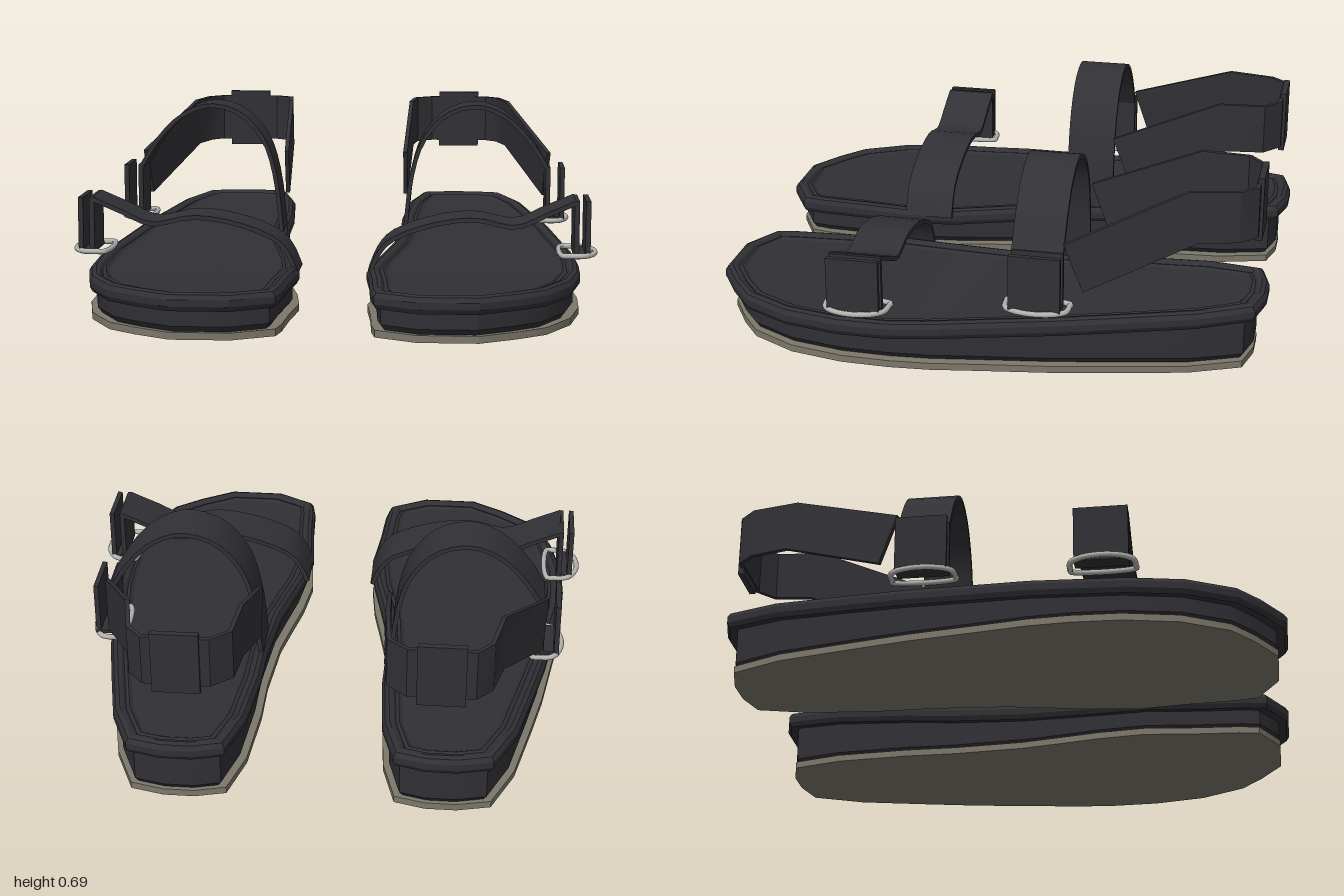
import * as THREE from 'three';
import { toCreasedNormals } from 'three/addons/utils/BufferGeometryUtils.js';

const V = (x, y, z) => new THREE.Vector3(x, y, z);
const rubber = new THREE.MeshStandardMaterial({ name: 'dark rubber', color: 0x303035 });
const fabric = new THREE.MeshStandardMaterial({ name: 'strap fabric', color: 0x313136 });
const tread = new THREE.MeshStandardMaterial({ name: 'grey tread', color: 0x7c776a });
const metal = new THREE.MeshStandardMaterial({ name: 'ring metal', color: 0xb4b4b0 });

// Sole stations from heel to toe: z, inner x, outer x
const STATIONS = [
  [-1, 0.40, 0.51], [-0.97, 0.29, 0.63], [-0.78, 0.24, 0.71], [-0.5, 0.22, 0.77], [-0.3, 0.22, 0.81],
  [-0.03, 0.20, 0.85], [0.13, 0.17, 0.875], [0.28, 0.14, 0.885], [0.46, 0.12, 0.88], [0.66, 0.14, 0.84],
  [0.83, 0.15, 0.75], [0.91, 0.165, 0.65], [0.99, 0.31, 0.52],
];
const OUTLINE = [
  ...STATIONS.map(([z, xi]) => new THREE.Vector2(xi, z)),
  ...[...STATIONS].reverse().map(([z, , xo]) => new THREE.Vector2(xo, z)),
];
const topY = (z) => 0.165 + 0.075 * THREE.MathUtils.clamp((0.32 - z) / 1.27, 0, 1);

// Outline moved inwards by d with mitred corners
function inset(d) {
  const n = OUTLINE.length;
  return OUTLINE.map((p, i) => {
    const a = p.clone().sub(OUTLINE[(i + n - 1) % n]).normalize();
    const b = OUTLINE[(i + 1) % n].clone().sub(p).normalize();
    const na = new THREE.Vector2(a.y, -a.x), nb = new THREE.Vector2(b.y, -b.x);
    const m = na.clone().add(nb).normalize();
    return p.clone().addScaledVector(m, d / Math.max(0.6, m.dot(na)));
  });
}

// Closed rings joined in order and capped at both ends; side -1 mirrors in x
function loft(rings, side) {
  const pos = [], N = rings[0].length;
  const quad = (a, b, c, d) => {
    const t = side > 0 ? [a, b, c, a, c, d] : [a, c, b, a, d, c];
    t.forEach((p) => pos.push(p.x * side, p.y, p.z));
  };
  for (let r = 0; r < rings.length - 1; r++) {
    for (let i = 0; i < N; i++) {
      const j = (i + 1) % N;
      quad(rings[r][i], rings[r][j], rings[r + 1][j], rings[r + 1][i]);
    }
  }
  const lo = rings[0], hi = rings[rings.length - 1];
  for (let i = 0; i < N / 2 - 1; i++) {
    const k = N - 1 - i;
    quad(hi[i], hi[i + 1], hi[k - 1], hi[k]);
    quad(lo[k], lo[k - 1], lo[i + 1], lo[i]);
  }
  const g = new THREE.BufferGeometry();
  g.setAttribute('position', new THREE.Float32BufferAttribute(pos, 3));
  return toCreasedNormals(g, 0.5);
}

// Flat band between pairs of edge points [low, high]
function band(pairs, thick, side) {
  const mid = pairs.map(([a, b]) => a.clone().add(b).multiplyScalar(0.5));
  const rings = pairs.map(([lo, hi], i) => {
    const t = mid[Math.min(i + 1, mid.length - 1)].clone().sub(mid[Math.max(i - 1, 0)]);
    const v = t.cross(hi.clone().sub(lo)).normalize().multiplyScalar(thick / 2);
    return [lo.clone().sub(v), hi.clone().sub(v), hi.clone().add(v), lo.clone().add(v)];
  });
  return loft(rings, side);
}

function sandal(side) {
  const g = new THREE.Group();
  const add = (name, geo, mat) => {
    const m = new THREE.Mesh(geo, mat);
    m.name = name;
    g.add(m);
    return m;
  };
  const box = (name, w, h, d, x, y, z) =>
    add(name, new THREE.BoxGeometry(w, h, d), fabric).position.set(x * side, y, z);

  // Thin outsole
  const flat = (y) => inset(0.003).map((p) => V(p.x, y, p.y * 0.965));
  add('outsole', loft([flat(0), flat(0.025)], side), tread);

  // Midsole, slightly set in below the rim
  const mid = inset(-0.025 * -1);
  const level = (d, f) => inset(d).map((p) => V(p.x, f(p.y), p.y * 0.985));
  add('midsole', loft([
    level(0.04, () => 0.025), level(0.025, () => 0.045), mid.map((p) => V(p.x, topY(p.y) - 0.05, p.y * 0.985)),
  ], side), rubber);

  // Rounded rim, groove, welt and footbed in one section
  const rim = [[0.035, -0.065], [0.01, -0.062], [0, -0.045], [0, -0.022], [0.01, -0.006], [0.025, 0],
    [0.04, -0.004], [0.048, -0.012], [0.06, -0.008], [0.072, -0.016]];
  add('footbed', loft(rim.map(([d, dy]) =>
    inset(d).map((p, i) => V(p.x, topY(OUTLINE[i].y) + dy, p.y))), side), rubber);

  // Cross straps, each with a folded end held by a metal ring
  const straps = [
    { name: 'toe', z0: 0.29, z1: 0.475, plates: [0.865, 0.905], y: 0.21, ring: 0.82, bulge: 0.065, ringY: 0.217,
      path: [[0.13, 0.14], [0.16, 0.21], [0.205, 0.262], [0.36, 0.322], [0.51, 0.34], [0.65, 0.315], [0.76, 0.36], [0.865, 0.405]] },
    { name: 'instep', z0: -0.33, z1: -0.15, plates: [0.79, 0.845], y: 0.25, ring: 0.76, bulge: 0.055, ringY: 0.247,
      path: [[0.24, 0.19], [0.265, 0.41], [0.31, 0.55], [0.4, 0.65], [0.52, 0.682], [0.63, 0.64], [0.72, 0.55], [0.79, 0.44]] },
  ];
  for (const s of straps) {
    const curve = new THREE.CatmullRomCurve3(s.path.map(([x, y]) => V(x, y, 0)));
    const pairs = curve.getPoints(20).map((p) => [V(p.x, p.y, s.z0), V(p.x, p.y, s.z1)]);
    add(s.name + 'Strap', band(pairs, 0.016, side), fabric);
    const [a, b] = s.plates, zc = (s.z0 + s.z1) / 2, w = s.z1 - s.z0;
    for (const x of s.plates) box(s.name + 'StrapFold', 0.018, 0.2, w, x, s.y + 0.1, zc);
    box(s.name + 'StrapFoldBase', b - a, 0.012, w, (a + b) / 2, s.y + 0.006, zc);

    // D-shaped ring
    const pts = [[s.ring, -0.11], [s.ring + 0.025, -0.11]];
    for (let i = 0; i <= 8; i++) {
      const t = -Math.PI / 2 + (i / 8) * Math.PI;
      pts.push([s.ring + 0.05 + s.bulge * Math.cos(t), 0.11 * Math.sin(t)]);
    }
    pts.push([s.ring + 0.025, 0.11], [s.ring, 0.11]);
    const loop = new THREE.CatmullRomCurve3(pts.map(([x, z]) => V(x * side, s.ringY, zc + z)), true);
    add(s.name + 'Ring', new THREE.TubeGeometry(loop, 56, 0.01, 8, true), metal);
  }

  // Heel strap: level around the back, sloping down along both sides
  const heel = [
    [0.236, -0.395, 0.31, 0.235, -0.33, 0.485], [0.25, -0.765, 0.465, 0.25, -0.73, 0.65],
    [0.265, -0.9, 0.465, 0.265, -0.9, 0.65], [0.33, -0.955, 0.465, 0.33, -0.955, 0.65],
    [0.56, -0.955, 0.465, 0.56, -0.955, 0.65], [0.61, -0.9, 0.465, 0.61, -0.9, 0.65],
    [0.645, -0.765, 0.465, 0.645, -0.73, 0.65], [0.785, -0.395, 0.31, 0.80, -0.33, 0.485],
  ].map(([x, z, y, X, Z, Y]) => [V(x, y, z), V(X, Y, Z)]);
  add('heelStrap', band(heel, 0.016, side), fabric);
  box('heelTab', 0.165, 0.23, 0.022, 0.445, 0.555, -0.963);
  return g;
}

export function createModel() {
  const model = new THREE.Group();
  model.name = 'sandals';
  for (const side of [1, -1]) {
    const s = sandal(side);
    s.name = side > 0 ? 'leftSandal' : 'rightSandal';
    model.add(s);
  }
  return model;
}
